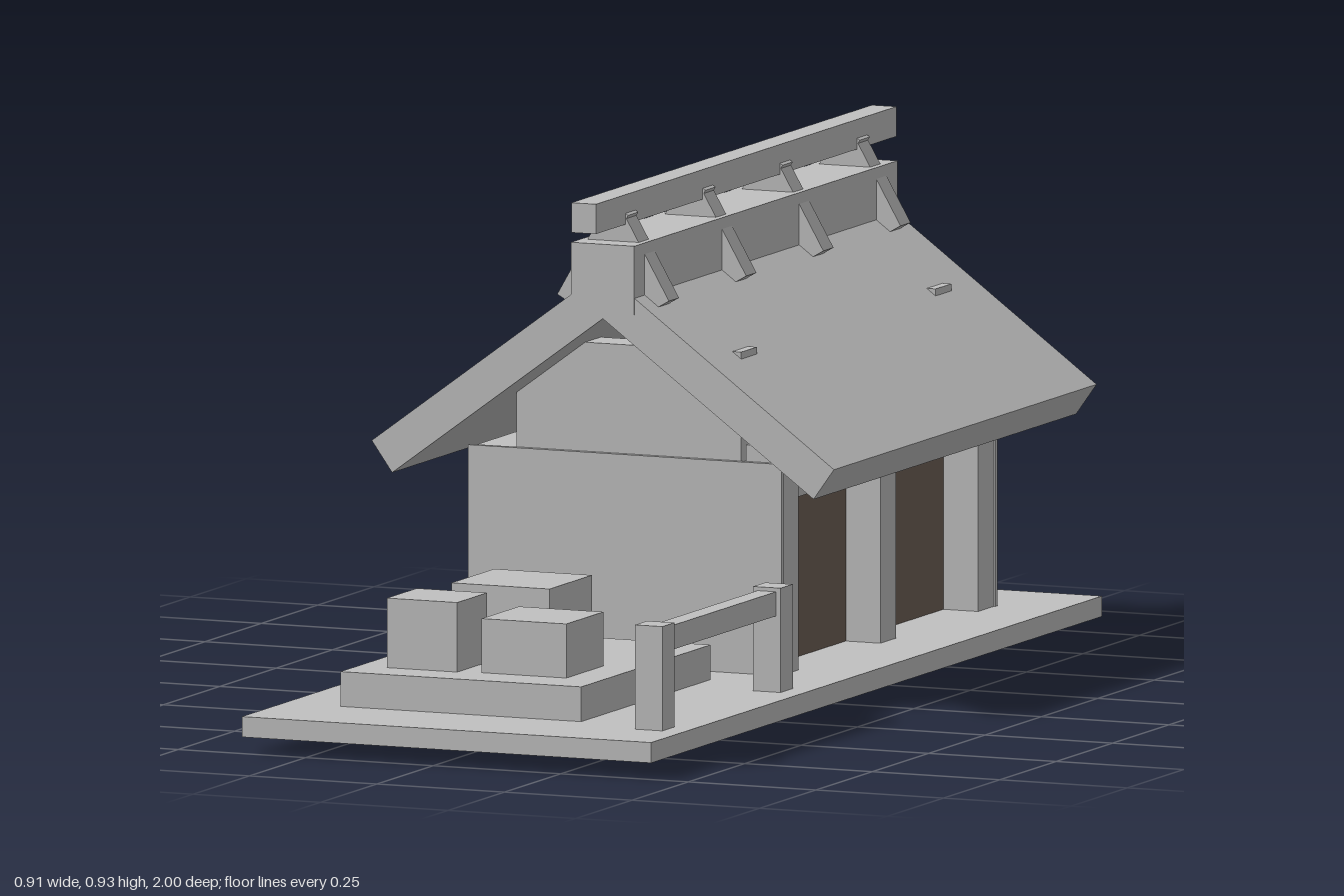
import * as THREE from 'three';

export function createModel() {
  const model = new THREE.Group();
  model.name = 'gabledHouse';
  const grey = new THREE.MeshStandardMaterial({ color: 0xc0c0c0 });
  grey.name = 'plain grey';
  const brown = new THREE.MeshStandardMaterial({ color: 0x6e6056 });
  brown.name = 'dark wood';

  // Box given by its lower and upper limits on each axis
  const box = (name, x0, x1, y0, y1, z0, z1, material = grey) => {
    const mesh = new THREE.Mesh(new THREE.BoxGeometry(x1 - x0, y1 - y0, z1 - z0), material);
    mesh.position.set((x0 + x1) / 2, (y0 + y1) / 2, (z0 + z1) / 2);
    mesh.name = name;
    model.add(mesh);
    return mesh;
  };

  // Ground deck
  box('deck', -0.375, 0.427, 0.03, 0.067, -1, 1);

  // House body, with end walls reaching past the recessed side
  box('houseBody', -0.302, 0.228, 0.067, 0.448, -0.8, 0.134);
  box('frontWall', -0.31, 0.305, 0.067, 0.45, 0.134, 0.145);
  box('backWall', -0.31, 0.305, 0.067, 0.45, -0.812, -0.803);
  box('lintel', 0.228, 0.3, 0.38, 0.45, -0.803, 0.134);

  // Posts running down through the deck
  for (const z of [0.099, -0.335, -0.768]) {
    box('housePost', 0.23, 0.302, 0, 0.48, z - 0.035, z + 0.035);
  }

  // Dark panels set back between the posts
  for (const [z0, z1] of [[-0.3, 0.064], [-0.733, -0.37]]) {
    box('doorPanel', 0.228, 0.234, 0.067, 0.38, z0, z1, brown);
  }

  // Gable blocks whose corners just break through the roof
  for (const z of [0.097, -0.765]) {
    box('gable', -0.22, 0.22, 0.448, 0.647, z - 0.035, z + 0.035);
  }

  // Pitched roof as one extruded chevron
  const roofShape = new THREE.Shape([
    [-0.413, 0.407], [0, 0.71], [0.413, 0.407],
    [0.453, 0.463], [0, 0.796], [-0.453, 0.463],
  ].map(([x, y]) => new THREE.Vector2(x, y)));
  const roof = new THREE.Mesh(
    new THREE.ExtrudeGeometry(roofShape, { depth: 1.165, bevelEnabled: false }), grey);
  roof.position.z = -0.917;
  roof.name = 'roof';
  model.add(roof);

  // Ridge cap and the raised beam above it
  box('ridgeCap', -0.062, 0.062, 0.72, 0.845, -0.918, 0.249);
  box('ridgeBeam', -0.024, 0.024, 0.876, 0.93, -1, 0.333);

  // Crossed struts carrying the beam
  for (const z of [0.18, -0.163, -0.505, -0.847]) {
    for (const side of [-1, 1]) {
      const strut = box('ridgeStrut', -0.0225, 0.0225, -0.1, 0.1, -0.0225, 0.0225);
      strut.position.set(side * 0.04, 0.8175, z);
      strut.rotation.z = side * Math.PI / 6;
    }
  }

  // Low platform with three blocks
  box('platform', -0.265, 0.207, 0.067, 0.13, 0.238, 0.812);
  box('largeBlock', -0.18, 0.012, 0.13, 0.256, 0.322, 0.512);
  box('smallBlock', -0.209, -0.071, 0.13, 0.256, 0.6, 0.733);
  box('lowBlock', -0.028, 0.138, 0.13, 0.228, 0.557, 0.722);

  // Fence beside the platform
  for (const z of [0.308, 0.832]) {
    box('fencePost', 0.333, 0.387, 0.067, 0.256, z - 0.027, z + 0.027);
  }
  box('fenceRail', 0.342, 0.378, 0.205, 0.249, 0.308, 0.832);

  return model;
}
